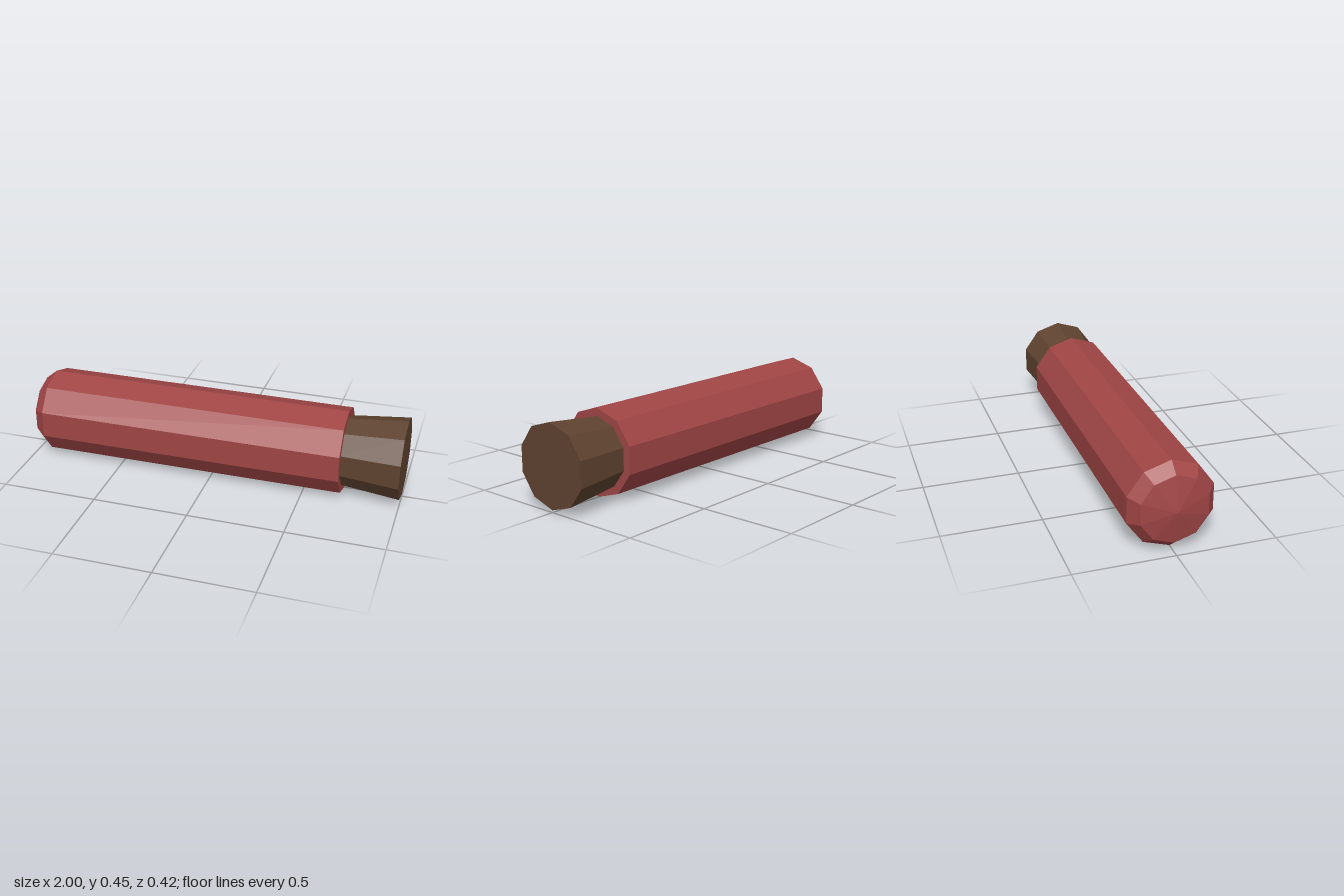
import * as THREE from 'three';

const SIDES = 10;
const CENTRE_Y = 0.223;

// Ten-sided solid of revolution along x; profile is a list of [x, radius], left to right
function turned(name, color, profile) {
  const points = profile.map(([x, r]) => new THREE.Vector2(r, x));
  const geometry = new THREE.LatheGeometry(points, SIDES, Math.PI / 2);
  geometry.rotateZ(-Math.PI / 2);
  geometry.translate(0, CENTRE_Y, 0);
  const mesh = new THREE.Mesh(geometry, new THREE.MeshStandardMaterial({ color, flatShading: true }));
  mesh.name = name;
  return mesh;
}

export function createModel() {
  const group = new THREE.Group();
  group.name = 'corkedTube';

  // Tube with a shallow domed end and a flat rim
  group.add(turned('tube', 0xa04545, [
    [-1, 0], [-0.965, 0.174], [-0.905, 0.223], [0.7, 0.223], [0.7, 0],
  ]));

  // Stopper flaring outwards from the rim
  group.add(turned('stopper', 0x5f4330, [
    [0.7, 0.182], [1, 0.212], [1, 0],
  ]));

  return group;
}
